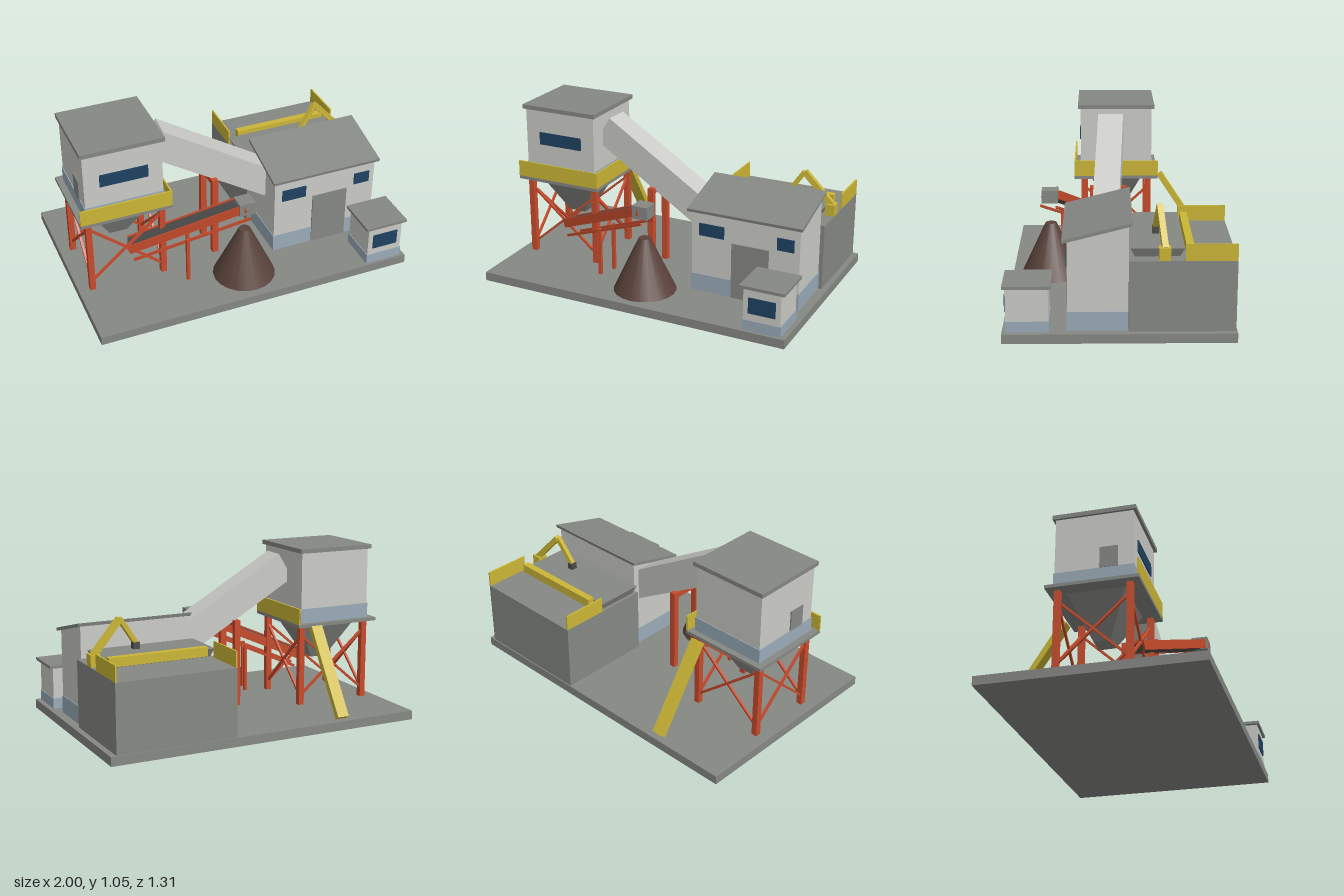
import * as THREE from 'three';

const mat = (name, color) => {
  const m = new THREE.MeshStandardMaterial({ color });
  m.name = name;
  return m;
};

export function createModel() {
  const root = new THREE.Group();
  root.name = 'batchingPlant';
  const M = {
    concrete: mat('concrete grey', 0x868884),
    wall: mat('pale wall', 0xcacbc6),
    plinth: mat('plinth blue', 0x9aabb8),
    glass: mat('window blue', 0x1f4262),
    yellow: mat('safety yellow', 0xcbb636),
    red: mat('steel red', 0xc84c2c),
    belt: mat('belt grey', 0x4c4d4b),
    pile: mat('gravel brown', 0x5a423b),
  };
  const add = (name, geo, m, parent = root) => {
    const mesh = new THREE.Mesh(geo, m);
    mesh.name = name;
    parent.add(mesh);
    return mesh;
  };
  // Box given by its min and max on each axis
  const box = (name, m, x0, x1, y0, y1, z0, z1, parent = root) => {
    const mesh = add(name, new THREE.BoxGeometry(x1 - x0, y1 - y0, z1 - z0), m, parent);
    mesh.position.set((x0 + x1) / 2, (y0 + y1) / 2, (z0 + z1) / 2);
  };
  // Bar running between two points
  const bar = (name, m, a, b, w, h, parent = root) => {
    const p = new THREE.Vector3(...a), q = new THREE.Vector3(...b);
    const mesh = add(name, new THREE.BoxGeometry(w, h, p.distanceTo(q)), m, parent);
    mesh.position.copy(p).lerp(q, 0.5);
    mesh.lookAt(q);
  };
  // Rectangular frustum, sizes are half widths
  const frustum = (name, m, x, z, y0, y1, bottom, top, parent) => {
    const geo = new THREE.BoxGeometry(2, y1 - y0, 2);
    const p = geo.attributes.position;
    for (let i = 0; i < p.count; i++) {
      const s = p.getY(i) > 0 ? top : bottom;
      p.setXYZ(i, p.getX(i) * s[0], p.getY(i), p.getZ(i) * s[1]);
    }
    geo.computeVertexNormals();
    add(name, geo, m, parent).position.set(x, (y0 + y1) / 2, z);
  };
  const group = (name) => {
    const g = new THREE.Group();
    g.name = name;
    root.add(g);
    return g;
  };
  const G = 0.055; // ground slab top

  box('groundSlab', M.concrete, -1, 1, 0, G, -0.655, 0.655);

  // Mixing tower on legs
  const tower = group('mixingTower');
  box('towerBody', M.wall, -0.925, -0.445, 0.58, 1.02, -0.23, 0.23, tower);
  box('towerBand', M.plinth, -0.93, -0.44, 0.58, 0.67, -0.235, 0.235, tower);
  box('towerRoof', M.concrete, -0.94, -0.43, 1.02, 1.047, -0.247, 0.247, tower);
  box('towerWindow', M.glass, -0.83, -0.535, 0.797, 0.877, 0.229, 0.236, tower);
  box('towerDoor', M.concrete, -0.933, -0.924, 0.67, 0.8, 0.035, 0.14, tower);
  box('platform', M.concrete, -0.97, -0.405, 0.56, 0.58, -0.272, 0.272, tower);
  box('frontRail', M.yellow, -0.97, -0.405, 0.58, 0.68, 0.262, 0.272, tower);
  box('sideRail', M.yellow, -0.415, -0.405, 0.58, 0.68, -0.272, 0.262, tower);
  frustum('hopper', M.concrete, -0.682, 0, 0.31, 0.56, [0.055, 0.05], [0.195, 0.17], tower);
  const lx = [-0.913, -0.455], lz = [-0.21, 0.21];
  for (const x of lx) for (const z of lz)
    box('leg', M.red, x - 0.018, x + 0.018, G, 0.56, z - 0.018, z + 0.018, tower);
  for (const [a, b] of [[0.11, 0.5], [0.5, 0.11]]) {
    for (const z of lz) bar('brace', M.red, [lx[0], a, z], [lx[1], b, z], 0.014, 0.014, tower);
    for (const x of lx) bar('brace', M.red, [x, a, lz[0]], [x, b, lz[1]], 0.014, 0.014, tower);
  }
  bar('stairRamp', M.yellow, [-0.513, 0.065, -0.615], [-0.513, 0.565, -0.29], 0.075, 0.035, tower);

  // Enclosed chute and its trestle
  bar('chute', M.wall, [-0.438, 0.917, 0.033], [0.3, 0.468, 0.074], 0.16, 0.183);
  const trestle = group('trestle');
  for (const z of [-0.042, 0.15])
    box('trestlePost', M.red, -0.108, -0.07, G, 0.6, z - 0.018, z + 0.018, trestle);
  box('trestleBeam', M.red, -0.108, -0.07, 0.565, 0.6, -0.024, 0.132, trestle);

  // Inclined conveyor: belt, side rails and lower rails
  const conveyor = group('conveyor');
  const tail = new THREE.Vector3(-0.66, 0.285, 0.175), head = new THREE.Vector3(0, 0.575, 0.415);
  const half = tail.distanceTo(head) / 2;
  conveyor.position.copy(tail).lerp(head, 0.5);
  conveyor.lookAt(head);
  box('belt', M.belt, -0.046, 0.046, -0.025, 0.02, -half, half, conveyor);
  for (const x of [-0.052, 0.052]) {
    box('conveyorRail', M.red, x - 0.006, x + 0.006, -0.027, 0.027, -half, half, conveyor);
    box('lowerRail', M.red, x - 0.006, x + 0.006, -0.088, -0.072, -half, half, conveyor);
  }
  box('conveyorHead', M.concrete, -0.055, 0.045, 0.525, 0.605, 0.367, 0.467);
  for (const [x, z] of [[-0.344, 0.352], [-0.306, 0.248]])
    box('conveyorPost', M.red, x - 0.01, x + 0.01, G, 0.36, z - 0.01, z + 0.01);

  // Gravel pile
  add('gravelPile', new THREE.CylinderGeometry(0.035, 0.192, 0.335, 20), M.pile).position.set(0, G + 0.1675, 0.413);

  // Main building with a single-pitch roof
  const hall = group('mainBuilding');
  const slab = (name, m, pts, x0, x1) => {
    const shape = new THREE.Shape(pts.map(([z, y]) => new THREE.Vector2(-z, y)));
    const geo = new THREE.ExtrudeGeometry(shape, { depth: x1 - x0, bevelEnabled: false });
    geo.rotateY(Math.PI / 2);
    add(name, geo, m, hall).position.x = x0;
  };
  slab('hallWalls', M.wall, [[0.29, G], [-0.05, G], [-0.05, 0.668], [0.29, 0.578]], 0.255, 0.94);
  slab('hallRoof', M.concrete, [[0.315, 0.568], [-0.068, 0.665], [-0.072, 0.685], [0.318, 0.586]], 0.235, 0.96);
  box('hallPlinth', M.plinth, 0.251, 0.944, G, 0.165, -0.049, 0.294, hall);
  box('hallDoor', M.concrete, 0.515, 0.75, G, 0.405, 0.289, 0.298, hall);
  box('hallWindow', M.glass, 0.305, 0.465, 0.42, 0.497, 0.289, 0.297, hall);
  box('hallWindow', M.glass, 0.8, 0.905, 0.42, 0.497, 0.289, 0.297, hall);

  // Small gate cabin
  const cabin = group('cabin');
  box('cabinBody', M.wall, 0.738, 0.966, G, 0.315, 0.395, 0.633, cabin);
  box('cabinPlinth', M.plinth, 0.734, 0.97, G, 0.12, 0.391, 0.637, cabin);
  box('cabinRoof', M.concrete, 0.715, 0.99, 0.315, 0.333, 0.378, 0.648, cabin);
  box('cabinWindow', M.glass, 0.77, 0.935, 0.165, 0.262, 0.632, 0.64, cabin);

  // Storage block with rails, feed tray and tray beam
  const store = group('storageBlock');
  box('storeBody', M.concrete, 0.22, 0.965, G, 0.468, -0.648, -0.051, store);
  for (const x of [0.225, 0.96])
    box('storeRail', M.yellow, x - 0.005, x + 0.005, 0.468, 0.565, -0.648, -0.36, store);
  frustum('feedTray', M.concrete, 0.562, -0.21, 0.468, 0.52, [0.32, 0.125], [0.342, 0.15], store);
  box('trayBeam', M.yellow, 0.29, 0.905, 0.49, 0.545, -0.41, -0.367, store);

  // Jointed digging arm
  const arm = group('diggingArm');
  const elbow = [0.765, 0.725, -0.225];
  box('armBase', M.yellow, 0.905, 0.965, 0.468, 0.54, -0.28, -0.215, arm);
  bar('boom', M.yellow, [0.94, 0.53, -0.25], elbow, 0.035, 0.035, arm);
  bar('stick', M.yellow, elbow, [0.66, 0.57, -0.208], 0.028, 0.028, arm);
  box('bucket', M.belt, 0.64, 0.68, 0.535, 0.575, -0.228, -0.188, arm);

  return root;
}
